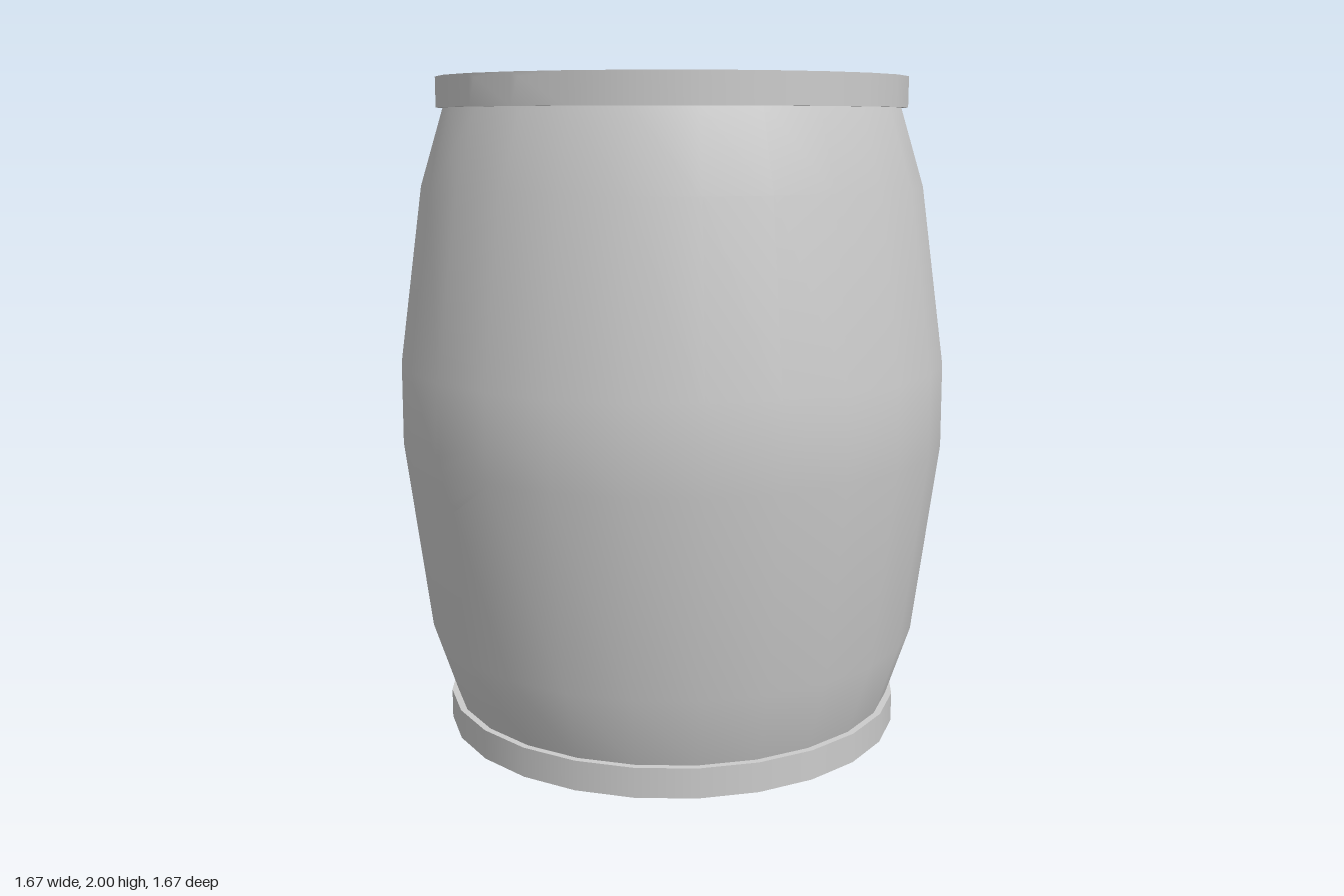
import * as THREE from 'three';

const SIDES = 25;

// Profile runs [radius, height]; each run is smooth, with hard edges between runs
const PROFILE = [
  [[0, 0], [0.71, 0]],                       // underside
  [[0.71, 0], [0.71, 0.09]],                 // lower hoop
  [[0.71, 0.09], [0.69, 0.09]],              // lower hoop ledge
  [[0.69, 0.09], [0.762, 0.31], [0.836, 0.9], [0.834, 1.15], [0.76, 1.68], [0.69, 1.91]], // bulging staves
  [[0.69, 1.91], [0.71, 1.91]],              // upper hoop underside
  [[0.71, 1.91], [0.71, 2]],                 // upper hoop
  [[0.71, 2], [0.67, 2]],                    // rim
  [[0.67, 2], [0.67, 1.96]],                 // inner rim wall
  [[0.67, 1.96], [0, 1.96]],                 // recessed lid
];

// Broken pieces, split off in order. Each is bounded by crack planes
// [nx, ny, nz, d]; a point belongs to the piece where n . p < d.
const PIECES = [
  ['lowerFrontPiece', [[0, 1, -0.25, 0.853], [1.3, 2.33, -1.96, 2.42], [0.139, 0.406, -1, 0.408], [-0.73, 0.99, -0.32, 1.18]]],
  ['lowerBackPiece', [[0.89, 1.1, 1.02, 1.212], [-0.16, 1.29, 0.63, 1.4], [-1.86, 1.37, 1.72, 1.916], [-0.92, 0.43, 1.07, 0.72]]],
  ['frontRightPiece', [[1, 0.015, 0.1, -0.452], [-0.08, 0.3, -0.62, 0.448]]],
  ['upperRightPiece', [[0.385, -0.098, 0.24, -0.319], [0.485, -0.024, -0.31, -0.149]]],
  ['upperBackPiece', [[-0.04, -0.07, 0.47, -0.171], [0.515, -0.093, 0.19, -0.09]]],
  ['upperFrontPiece', [[0.385, 0.02, -0.42, 0.139]]],
  ['upperLeftPiece', []],
];

// All barrel triangles as polygons of { p: position, n: normal }
function barrelPolygons() {
  const polygons = [];
  for (const run of PROFILE) {
    const points = run.map(([r, y]) => new THREE.Vector2(r, y));
    const lathe = new THREE.LatheGeometry(points, SIDES, Math.PI);
    const { position, normal } = lathe.attributes;
    const index = lathe.index.array;
    for (let i = 0; i < index.length; i += 3) {
      const polygon = [0, 1, 2].map((k) => ({
        p: new THREE.Vector3().fromBufferAttribute(position, index[i + k]),
        n: new THREE.Vector3().fromBufferAttribute(normal, index[i + k]),
      }));
      const [a, b, c] = polygon.map((v) => v.p);
      if (b.clone().sub(a).cross(c.clone().sub(a)).length() > 1e-8) polygons.push(polygon);
    }
  }
  return polygons;
}

// Cuts one polygon by a crack plane into its inside and outside parts
function split(polygon, [nx, ny, nz, d]) {
  const inside = [];
  const outside = [];
  const distance = polygon.map(({ p }) => nx * p.x + ny * p.y + nz * p.z - d);
  polygon.forEach((v, i) => {
    const j = (i + 1) % polygon.length;
    const w = polygon[j];
    (distance[i] < 0 ? inside : outside).push(v);
    if (distance[i] < 0 !== distance[j] < 0) {
      const t = distance[i] / (distance[i] - distance[j]);
      const cut = { p: v.p.clone().lerp(w.p, t), n: v.n.clone().lerp(w.n, t).normalize() };
      inside.push(cut);
      outside.push(cut);
    }
  });
  return [inside, outside];
}

// Fans polygons into one geometry
function toGeometry(polygons) {
  const positions = [];
  const normals = [];
  for (const polygon of polygons) {
    for (let i = 1; i < polygon.length - 1; i++) {
      for (const v of [polygon[0], polygon[i], polygon[i + 1]]) {
        positions.push(v.p.x, v.p.y, v.p.z);
        normals.push(v.n.x, v.n.y, v.n.z);
      }
    }
  }
  const geometry = new THREE.BufferGeometry();
  geometry.setAttribute('position', new THREE.Float32BufferAttribute(positions, 3));
  geometry.setAttribute('normal', new THREE.Float32BufferAttribute(normals, 3));
  return geometry;
}

export function createModel() {
  const barrel = new THREE.Group();
  barrel.name = 'crackedBarrel';
  const material = new THREE.MeshStandardMaterial({ color: 0xcccccc, side: THREE.DoubleSide });

  let remaining = barrelPolygons();
  for (const [name, planes] of PIECES) {
    let piece = remaining;
    const rest = [];
    for (const plane of planes) {
      const kept = [];
      for (const polygon of piece) {
        const [inside, outside] = split(polygon, plane);
        if (inside.length > 2) kept.push(inside);
        if (outside.length > 2) rest.push(outside);
      }
      piece = kept;
    }
    remaining = rest;
    const mesh = new THREE.Mesh(toGeometry(piece), material);
    mesh.name = name;
    barrel.add(mesh);
  }
  return barrel;
}
